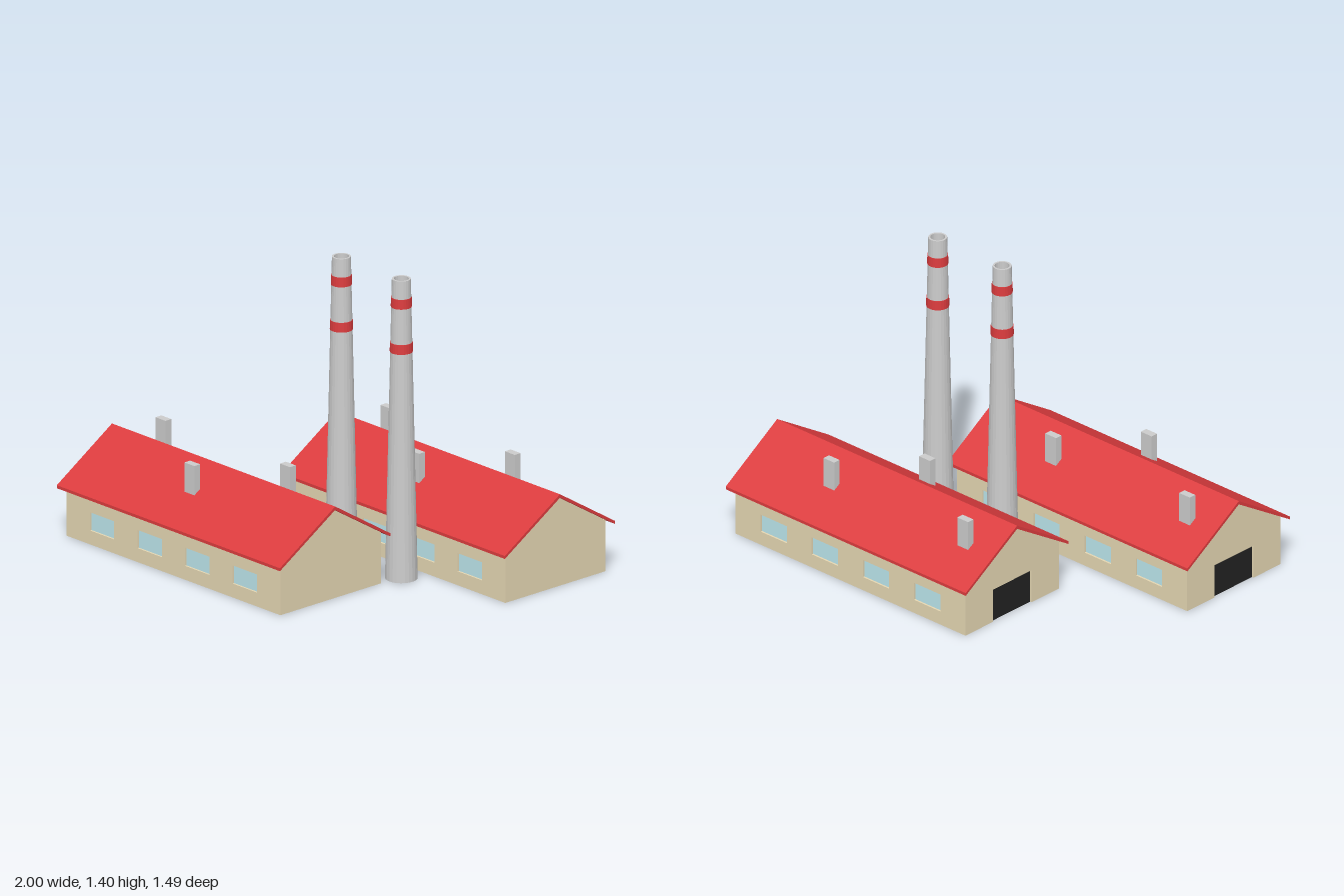
import * as THREE from 'three';

const mat = (color, extra = {}) => new THREE.MeshStandardMaterial({ color, ...extra });

const HALF_L = 0.693, HALF_W = 0.3, EAVE = 0.242, RIDGE = 0.428, RECESS = 0.012;

export function createModel() {
  const model = new THREE.Group();
  model.name = 'factory';

  const wallMat = mat(0xe4d6b2);
  const roofMat = mat(0xdc3c3e);
  const glassMat = mat(0xbce6ec);
  const doorMat = mat(0x222222);
  const greyMat = mat(0xcccccc);
  const stackMat = mat(0xcccccc, { flatShading: true });
  const bandMat = mat(0xdc3c3e, { flatShading: true });

  function add(parent, name, geometry, material, x = 0, y = 0, z = 0) {
    const mesh = new THREE.Mesh(geometry, material);
    mesh.name = name;
    mesh.position.set(x, y, z);
    parent.add(mesh);
    return mesh;
  }

  const shapeOf = pts => new THREE.Shape(pts.map(p => new THREE.Vector2(...p)));
  const extrude = (shape, depth) => new THREE.ExtrudeGeometry(shape, { depth, bevelEnabled: false });
  // Cross-section (z, y) swept along x
  const sweepX = (pts, depth) => extrude(shapeOf(pts), depth).rotateY(Math.PI / 2);

  function building(name, cx, cz) {
    const g = new THREE.Group();
    g.name = name;
    g.position.set(cx, 0, cz);
    model.add(g);

    // Gabled hall, slightly inset behind the pierced wall skins
    const w = HALF_W - RECESS, slope = (RIDGE - EAVE) / HALF_W;
    const coreEave = EAVE + slope * RECESS;
    add(g, 'hall', sweepX([[-w, 0], [w, 0], [w, coreEave], [0, RIDGE], [-w, coreEave]],
      2 * HALF_L - RECESS), wallMat, -HALF_L + RECESS);

    // Gable wall with the door opening
    const d = 0.125, dh = 0.16;
    add(g, 'doorWall', sweepX([[-HALF_W, 0], [-d, 0], [-d, dh], [d, dh], [d, 0], [HALF_W, 0],
      [HALF_W, EAVE], [0, RIDGE], [-HALF_W, EAVE]], RECESS), wallMat, -HALF_L);
    add(g, 'door', new THREE.BoxGeometry(0.004, dh, 2 * d), doorMat, -HALF_L + RECESS - 0.001, dh / 2, 0);

    // Long walls with four window openings each
    const ww = 0.158, y0 = 0.065, y1 = 0.15;
    const side = shapeOf([[-HALF_L, 0], [HALF_L, 0], [HALF_L, EAVE], [-HALF_L, EAVE]]);
    const centres = [0, 1, 2, 3].map(i => (i - 1.5) * 0.308);
    for (const c of centres) {
      const a = c - ww / 2, b = c + ww / 2;
      side.holes.push(shapeOf([[a, y0], [a, y1], [b, y1], [b, y0]]));
    }
    for (const s of [1, -1]) {
      add(g, 'longWall', extrude(side, RECESS), wallMat, 0, 0, s > 0 ? HALF_W - RECESS : -HALF_W);
      for (const c of centres) {
        add(g, 'window', new THREE.BoxGeometry(ww, y1 - y0, 0.004), glassMat,
          c, (y0 + y1) / 2, s * (HALF_W - RECESS + 0.001));
      }
    }

    // Overhanging pitched roof
    const rl = 0.7225, rw = 0.33;
    add(g, 'roof', sweepX([[-rw, 0.221], [0, 0.426], [rw, 0.221], [rw, 0.235], [0, 0.442], [-rw, 0.235]],
      2 * rl), roofMat, -rl);

    // Roof vents
    for (const [x, z] of [[-0.553, -0.151], [0.253, -0.151], [-0.0425, 0.148]]) {
      add(g, 'roofVent', new THREE.BoxGeometry(0.065, 0.175, 0.035), greyMat, x, 0.3875, z);
    }
  }

  building('frontBuilding', -0.2775, 0.416);
  building('backBuilding', 0.2775, -0.416);

  // Tapered chimneys with a hollow top and two painted bands
  const radius = y => 0.072 - 0.03 * y / 1.4;
  const lathe = pts => new THREE.LatheGeometry(pts.map(p => new THREE.Vector2(...p)), 24);
  const stackGeo = lathe([[0, 0], [radius(0), 0], [radius(1.4), 1.4], [0.033, 1.4], [0.033, 1.32], [0, 1.32]]);
  for (const x of [0.035, 0.423]) {
    const g = new THREE.Group();
    g.name = 'chimney';
    g.position.x = x;
    model.add(g);
    add(g, 'stack', stackGeo, stackMat);
    for (const y of [1.06, 1.27]) {
      const t = y + 0.045;
      add(g, 'band', lathe([[radius(y) - 0.002, y], [radius(y) + 0.002, y],
        [radius(t) + 0.002, t], [radius(t) - 0.002, t]]), bandMat);
    }
  }

  return model;
}
